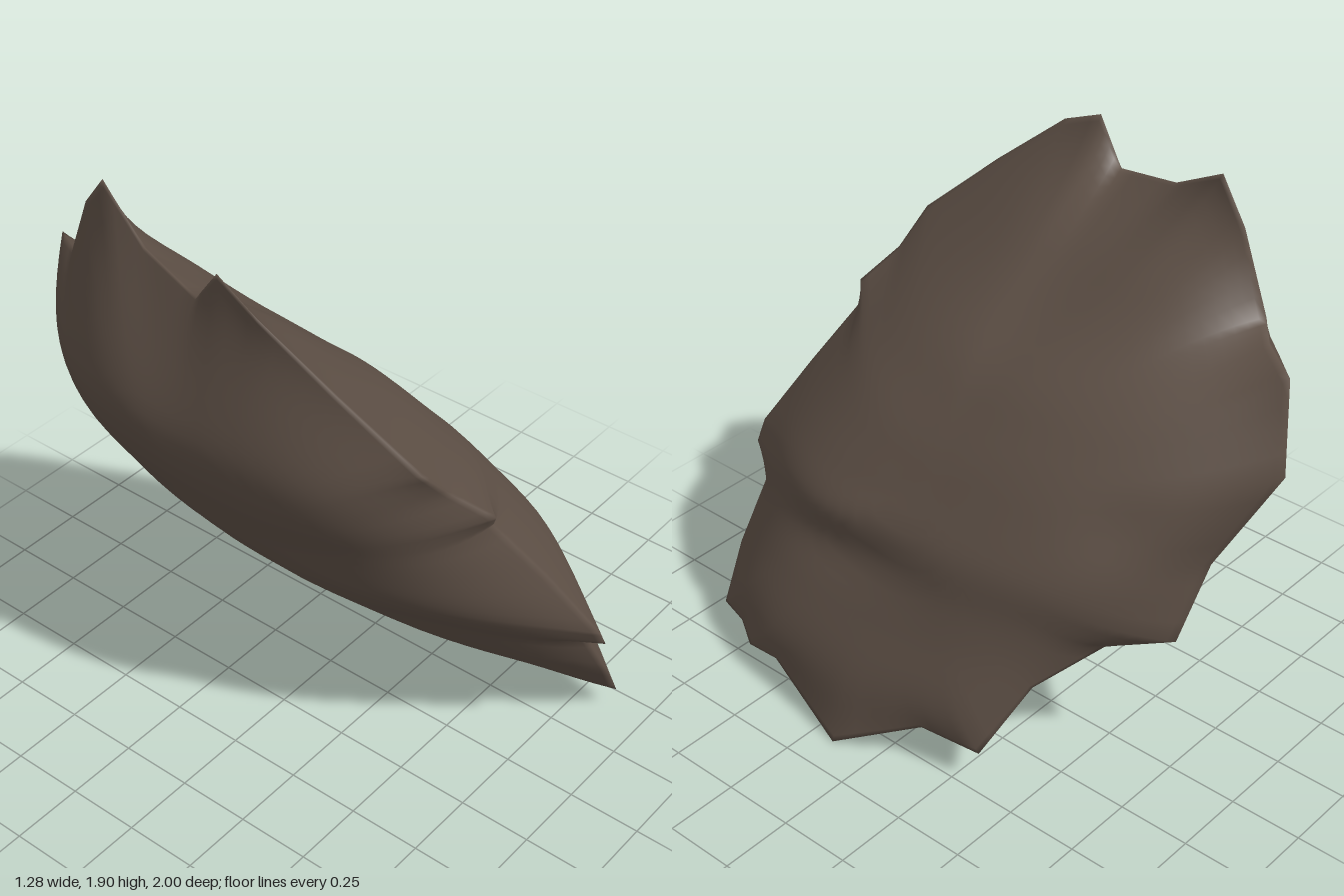
import * as THREE from 'three';
import { mergeGeometries, mergeVertices } from 'three/addons/utils/BufferGeometryUtils.js';

// Broken rim of the slab, clockwise seen from +x: [x, y, z]
const RIM = [
  [-0.55, 1.87, 0.04], [-0.52, 1.73, -0.07], [-0.47, 1.78, -0.32], [-0.41, 1.9, -0.53],
  [-0.38, 1.77, -0.64], [-0.36, 1.52, -0.75], [-0.28, 1.49, -0.82], [-0.2, 1.46, -0.95],
  [-0.14, 1.17, -1], [-0.04, 0.83, -0.83], [0.05, 0.56, -0.78], [0.17, 0.52, -0.6],
  [0.34, 0.38, -0.45], [0.47, 0.13, -0.34], [0.52, 0.16, -0.14], [0.63, 0, 0.16],
  [0.55, 0.12, 0.5], [0.53, 0.09, 0.65], [0.48, 0.12, 0.74], [0.42, 0.09, 0.89],
  [0.3, 0.27, 0.92], [0.17, 0.5, 0.9], [0.12, 0.57, 1], [0.08, 0.64, 1],
  [-0.04, 0.88, 0.87], [-0.17, 1.1, 0.75], [-0.2, 1.16, 0.78], [-0.31, 1.27, 0.7],
  [-0.42, 1.39, 0.67], [-0.51, 1.61, 0.43], [-0.57, 1.8, 0.2],
];

// Depth of each face along its middle: [y, x]
const UPPER = [[0, 0.63], [0.2, 0.59], [0.45, 0.47], [0.64, 0.42], [0.74, 0.41], [0.82, 0.37],
  [1.05, 0.24], [1.2, 0.13], [1.28, 0.08], [1.45, -0.05], [1.62, -0.15], [1.9, -0.43]];
const LOWER = [[0, -0.1], [0.1, -0.1], [0.25, -0.09], [0.45, -0.2], [0.6, -0.28], [0.78, -0.42],
  [1, -0.53], [1.12, -0.6], [1.3, -0.66], [1.45, -0.65], [1.62, -0.62], [1.9, -0.55]];

const CY = 0.95;
const RINGS = 20;
const STEPS = 4;
const lerp = THREE.MathUtils.lerp;

function sample(table, y) {
  for (let i = 1; i < table.length; i++) {
    const [y0, x0] = table[i - 1];
    const [y1, x1] = table[i];
    if (y <= y1) return x0 + (x1 - x0) * Math.max(0, (y - y0) / (y1 - y0));
  }
  return table[table.length - 1][1];
}

// Worn ledges and dents on the upper face
function upperRelief(y, z) {
  const ledge = (at, width) => Math.exp(-(((y - at) / width) ** 2));
  const spot = (at, width) => Math.exp(-(((z - at) / width) ** 2));
  return 0.02 * ledge(0.76 - 0.1 * z, 0.07) * spot(0.35, 0.35)
    - 0.025 * ledge(0.62 - 0.1 * z, 0.08) * spot(0.3, 0.35)
    + 0.015 * ledge(1.24, 0.1) * spot(0, 0.4)
    - 0.03 * ledge(0.98, 0.1) * spot(-0.7, 0.15)
    + 0.008 * Math.sin(7 * z + 4 * y);
}

function lowerRelief(y, z) {
  return 0.01 * Math.sin(6 * z + 5 * y);
}

// How squarely each face drops to the rim: the -z edge of the upper face is blunt
const upperPower = (z) => 3.2 + (z < 0 ? -2 * z : -0.7 * z);
const lowerPower = (z) => 3 + (z < 0 ? -1 * z : 0.4 * z);

// Rim with extra points on each straight break
const rim = RIM.flatMap((a, i) => {
  const b = RIM[(i + 1) % RIM.length];
  return Array.from({ length: STEPS }, (_, k) => a.map((v, j) => lerp(v, b[j], k / STEPS)));
});
const n = rim.length;

// Softened copy of the rim, so its notches fade out inwards
let softRim = rim;
for (let pass = 0; pass < 30; pass++) {
  softRim = softRim.map((p, i, all) => p.map((v, j) =>
    (all[(i + n - 1) % n][j] + 2 * v + all[(i + 1) % n][j]) / 4));
}

// One face: rings shrinking from the rim to the centre, bulging towards its middle profile
function faceGeometry(table, powerAt, relief, flip) {
  const positions = [];
  for (let r = 0; r <= RINGS; r++) {
    const t = 1 - (1 - r / RINGS) ** 1.4; // rings gather near the rim
    rim.forEach((p, i) => {
      const [rx, ry, rz] = p.map((v, j) => lerp(softRim[i][j], v, t ** 6));
      const y = CY + (ry - CY) * t;
      const z = rz * t;
      // Average the profile to round its corners
      let mid = 0;
      for (const d of [-0.06, -0.03, 0, 0.03, 0.06]) mid += sample(table, y + d) / 5;
      const s = t ** powerAt(z);
      positions.push(lerp(mid + relief(y, z) * (1 - s), rx, s), y, z);
    });
  }
  const index = [];
  const tri = (a, b, c) => (flip ? index.push(a, c, b) : index.push(a, b, c));
  for (let r = 0; r < RINGS; r++) {
    for (let i = 0; i < n; i++) {
      const a = r * n + i;
      const b = r * n + (i + 1) % n;
      if (r > 0) tri(a, b, b + n);
      tri(a, b + n, a + n);
    }
  }
  const geometry = new THREE.BufferGeometry();
  geometry.setAttribute('position', new THREE.Float32BufferAttribute(positions, 3));
  geometry.setIndex(index);
  return geometry;
}

export function createModel() {
  const group = new THREE.Group();
  group.name = 'rockSlab';
  const stone = new THREE.MeshStandardMaterial({ color: 0x5e5046 });
  stone.name = 'brown stone';

  // Both faces welded along the rim, so the worn edge shades softly
  const upper = faceGeometry(UPPER, upperPower, upperRelief, false);
  const lower = faceGeometry(LOWER, lowerPower, lowerRelief, true);
  const geometry = mergeVertices(mergeGeometries([upper, lower]), 1e-4);
  geometry.computeVertexNormals();

  const slab = new THREE.Mesh(geometry, stone);
  slab.name = 'slab';
  group.add(slab);
  return group;
}
